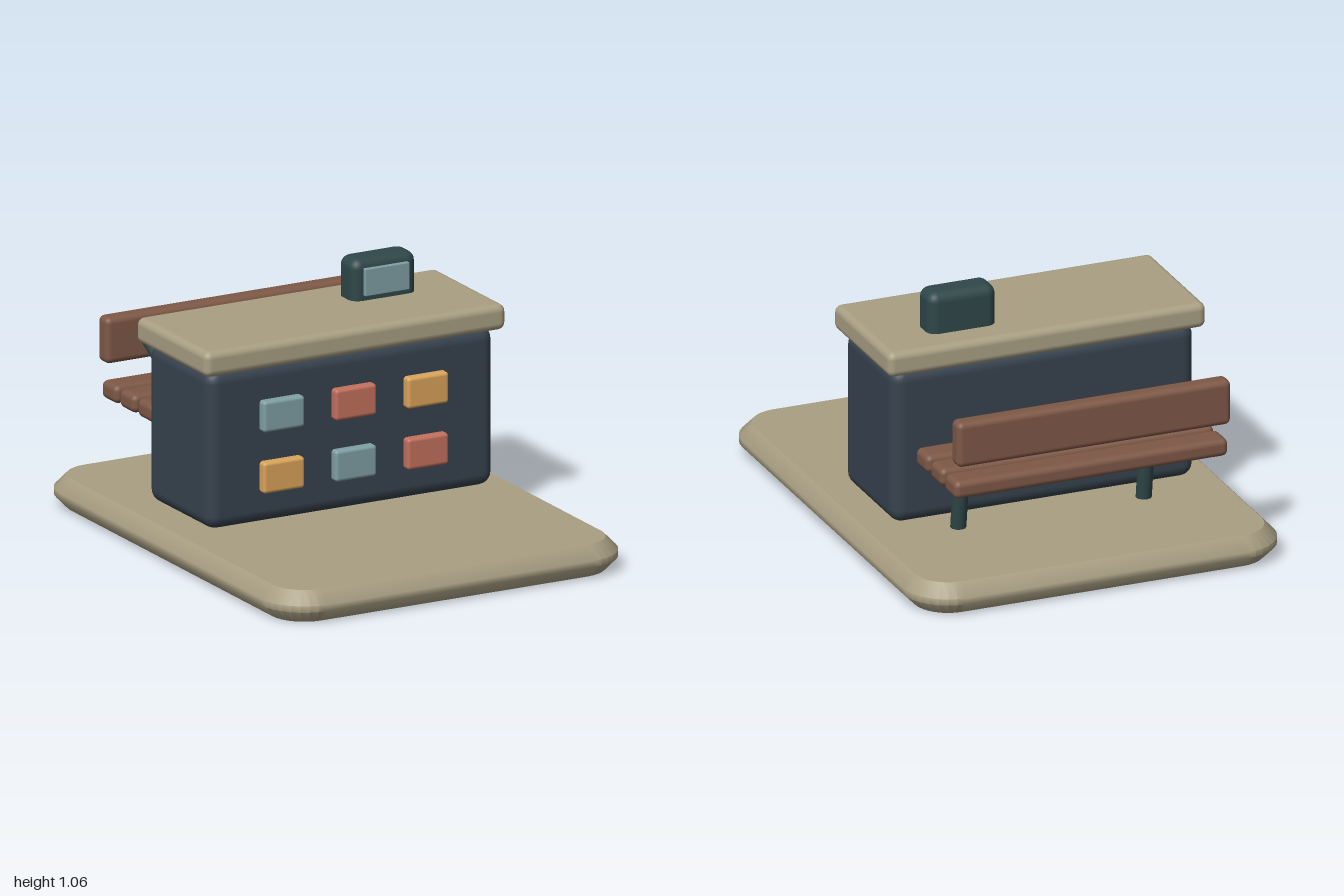
import * as THREE from 'three';
import { toCreasedNormals } from 'three/addons/utils/BufferGeometryUtils.js';
import { RoundedBoxGeometry } from 'three/addons/geometries/RoundedBoxGeometry.js';

export function createModel() {
  const model = new THREE.Group();
  model.name = 'kioskWithBench';

  const mat = (name, color) => {
    const m = new THREE.MeshStandardMaterial({ color });
    m.name = name;
    return m;
  };
  const stone = mat('stone', 0xa99f83);
  const navy = mat('navy', 0x37434f);
  const teal = mat('darkTeal', 0x2f4749);
  const wood = mat('wood', 0x7e5846);
  const blue = mat('paleBlue', 0x7fa0a4);
  const red = mat('brickRed', 0xc2705c);
  const amber = mat('amber', 0xdaa45a);

  const add = (name, geometry, material, parent = model) => {
    const mesh = new THREE.Mesh(geometry, material);
    mesh.name = name;
    parent.add(mesh);
    return mesh;
  };
  // Rounded block given by its limits on each axis
  const block = (name, material, [x0, x1], [y0, y1], [z0, z1], radius, parent) => {
    const geometry = new RoundedBoxGeometry(x1 - x0, y1 - y0, z1 - z0, 3, radius);
    geometry.translate((x0 + x1) / 2, (y0 + y1) / 2, (z0 + z1) / 2);
    return add(name, geometry, material, parent);
  };
  // Round bar between two points
  const bar = (name, a, b, radius, parent) => {
    const mesh = add(name, new THREE.CylinderGeometry(radius, radius, a.distanceTo(b), 10), teal, parent);
    mesh.position.lerpVectors(a, b, 0.5);
    mesh.quaternion.setFromUnitVectors(new THREE.Vector3(0, 1, 0), b.clone().sub(a).normalize());
  };

  // Ground slab: rounded rectangle with chamfered rims
  const w = 0.738, d = 0.95, r = 0.14;
  const outline = new THREE.Shape();
  outline.absarc(w - r, d - r, r, 0, Math.PI / 2);
  outline.absarc(r - w, d - r, r, Math.PI / 2, Math.PI);
  outline.absarc(r - w, r - d, r, Math.PI, Math.PI * 1.5);
  outline.absarc(w - r, r - d, r, Math.PI * 1.5, Math.PI * 2);
  outline.closePath();
  const slab = new THREE.ExtrudeGeometry(outline, {
    depth: 0.026, bevelThickness: 0.052, bevelSize: 0.05, bevelSegments: 1, curveSegments: 4,
  });
  slab.rotateX(-Math.PI / 2).translate(0, 0.052, 0);
  add('groundSlab', toCreasedNormals(slab, Math.PI / 4), stone);

  // Kiosk body and roof
  block('kioskBody', navy, [-0.645, 0.645], [0.147, 0.8], [-0.37, 0.13], 0.055);
  block('roof', stone, [-0.677, 0.677], [0.79, 0.895], [-0.405, 0.165], 0.03);

  // Two rows of raised front panels
  const panels = new THREE.Group();
  panels.name = 'frontPanels';
  model.add(panels);
  [[amber, blue, red], [blue, red, amber]].forEach((row, j) => row.forEach((material, i) => {
    const x = (i - 1) * 0.324, y = 0.342 + j * 0.251;
    block('panel', material, [x - 0.093, x + 0.093], [y - 0.064, y + 0.064], [0.1, 0.166], 0.014, panels);
  }));

  // Roof box with a screen
  block('roofBox', teal, [0.163, 0.453], [0.82, 1.063], [-0.283, -0.151], 0.042);
  block('roofScreen', blue, [0.208, 0.408], [0.916, 1.028], [-0.165, -0.135], 0.004);

  // Bench: three seat slats, a backrest and two bent supports
  const bench = new THREE.Group();
  bench.name = 'bench';
  model.add(bench);
  for (const z of [-0.502, -0.647, -0.79]) {
    block('seatSlat', wood, [-0.583, 0.583], [0.43, 0.505], [z - 0.06, z + 0.06], 0.025, bench);
  }
  block('backrest', wood, [-0.583, 0.583], [0.575, 0.765], [-0.878, -0.8], 0.025, bench);
  for (const x of [-0.395, 0.395]) {
    const foot = new THREE.Vector3(x, 0.11, -0.431);
    const bend = new THREE.Vector3(x, 0.47, -0.478);
    const top = new THREE.Vector3(x, 0.67, -0.825);
    bar('benchLeg', foot, bend, 0.032, bench);
    bar('backSupport', bend, top, 0.031, bench);
  }
  return model;
}
